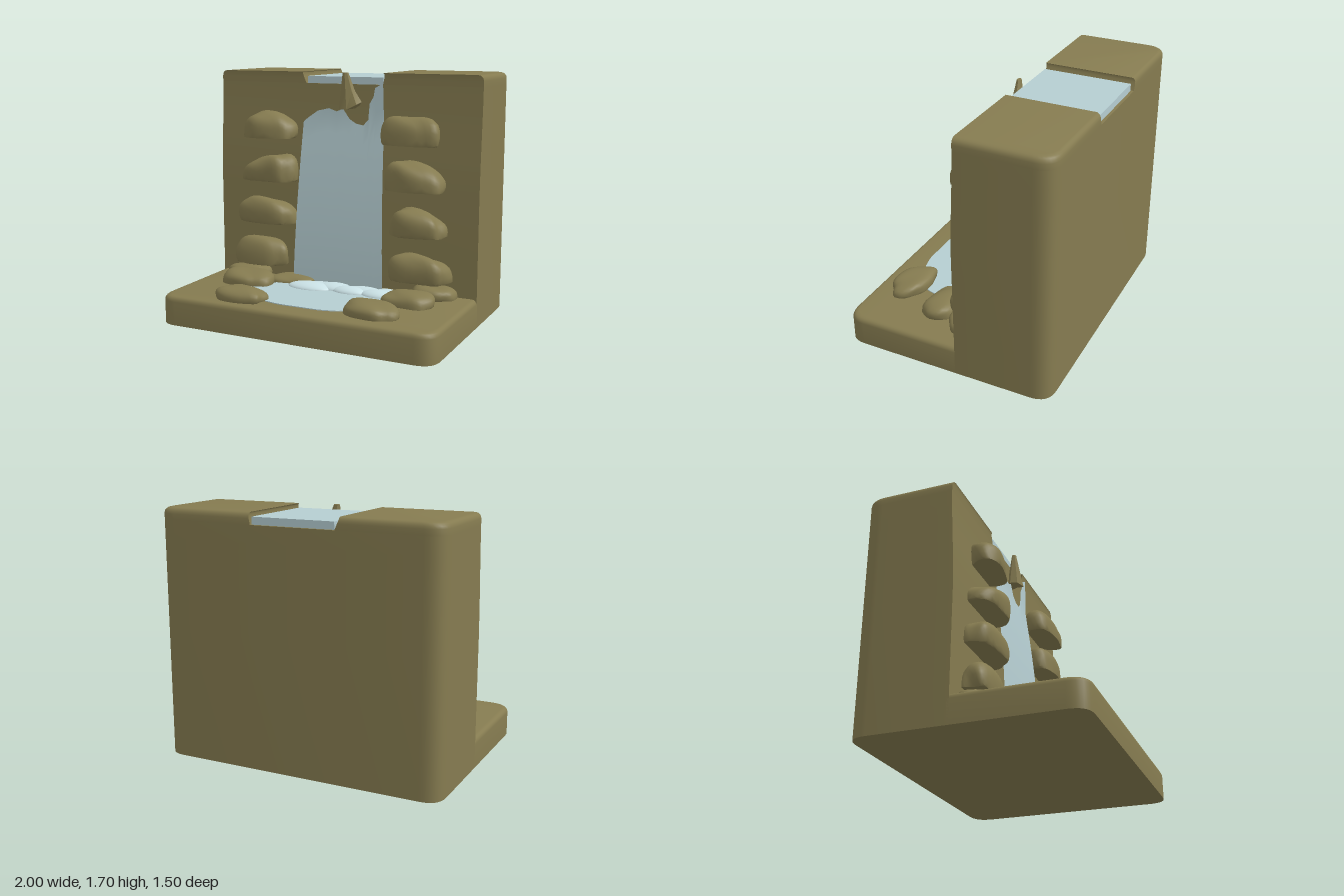
import * as THREE from 'three';
import { toCreasedNormals } from 'three/addons/utils/BufferGeometryUtils.js';

const mat = (name, color, side = THREE.FrontSide) => {
  const m = new THREE.MeshStandardMaterial({ color, side });
  m.name = name;
  return m;
};

// Applies rule(v) to every vertex of a geometry
function reshape(geo, rule) {
  const p = geo.attributes.position, v = new THREE.Vector3();
  for (let i = 0; i < p.count; i++) {
    v.fromBufferAttribute(p, i);
    rule(v);
    p.setXYZ(i, v.x, v.y, v.z);
  }
  return geo;
}

// Plan outline from corners [x, z, radius]
function planShape(corners) {
  const s = new THREE.Shape(), n = corners.length;
  corners.forEach(([x, z, r = 0], i) => {
    const c = new THREE.Vector2(x, -z);
    const toward = (k) => {
      const q = corners[(i + k + n) % n];
      return new THREE.Vector2(q[0], -q[1]).sub(c).normalize().multiplyScalar(r).add(c);
    };
    const a = toward(-1), b = toward(1);
    if (i === 0) s.moveTo(a.x, a.y); else s.lineTo(a.x, a.y);
    if (r) s.quadraticCurveTo(c.x, c.y, b.x, b.y);
  });
  s.closePath();
  return s;
}

// Extrudes a plan outline through the given heights; the last `round` units are rounded inward
function block(corners, heights, round, rule = () => {}) {
  const steps = heights.length - 1, top = heights[steps];
  const geo = new THREE.ExtrudeGeometry(planShape(corners), { depth: steps, steps, bevelEnabled: false, curveSegments: 8 });
  geo.rotateX(-Math.PI / 2);
  reshape(geo, (v) => {
    v.y = heights[Math.round(v.y)];
    const t = round ? Math.max(0, (v.y - top + round) / round) : 0;
    const s = 1 - round * (1 - Math.sqrt(Math.max(0, 1 - t * t)));
    rule(v);
    v.x *= s;
    v.z *= s;
  });
  return toCreasedNormals(geo, 0.7);
}

const roundedTop = (top, r) => [0, 0.4, 0.7, 0.9, 1].map((t) => top - r + r * t);

// Boulder with a flat underside, fitted to a box; skew raises its +x end
function boulder([x0, x1, y0, y1, z0, z1], skew, seed) {
  const geo = new THREE.IcosahedronGeometry(1, 5);
  const soft = (a) => Math.sign(a) * Math.pow(Math.abs(a), 0.78);
  reshape(geo, (v) => {
    const k = 1 + 0.07 * Math.sin(3 * v.x + seed * 2.1) + 0.07 * Math.sin(3.3 * v.z + 2 * v.y + seed * 1.3)
      + 0.04 * Math.sin(5 * v.x - 4 * v.z + seed);
    v.set(soft(v.x) * k, soft(v.y) * k, soft(v.z) * k);
    v.y = Math.max(v.y, -0.35) + 0.35;
    v.y *= 1 + skew * v.x;
    v.z += 0.12 * Math.sin(seed * 4) * v.x;
  });
  geo.computeBoundingBox();
  const { min, max } = geo.boundingBox;
  const fit = THREE.MathUtils.mapLinear;
  reshape(geo, (v) => v.set(fit(v.x, min.x, max.x, x0, x1), fit(v.y, min.y, max.y, y0, y1), fit(v.z, min.z, max.z, z0, z1)));
  return toCreasedNormals(geo, 0.75);
}

// Falling sheet: straight flaring sides, ragged top edge, curving out from the wall
function sheet() {
  const topEdge = [[0, 1.35], [0.06, 1.38], [0.18, 1.43], [0.32, 1.45], [0.42, 1.43], [0.5, 1.45], [0.58, 1.38],
    [0.66, 1.35], [0.75, 1.34], [0.81, 1.38], [0.83, 1.49], [0.88, 1.54], [0.9, 1.6], [1, 1.63]];
  const rows = 16, geo = new THREE.PlaneGeometry(1, 1, topEdge.length - 1, rows);
  const p = geo.attributes.position;
  for (let i = 0; i < p.count; i++) {
    const [u, top] = topEdge[i % topEdge.length];
    const y = 0.2 + (top - 0.2) * (1 - Math.floor(i / topEdge.length) / rows);
    const half = 0.35 - 0.04 * (y - 0.2) / 1.17;
    p.setXYZ(i, (2 * u - 1) * half, y, 0.01 - 0.1 * Math.min(1, Math.pow((y - 0.2) / 1.15, 1.7)));
  }
  geo.computeVertexNormals();
  return geo;
}

export function createModel() {
  const model = new THREE.Group();
  const rock = mat('olive rock', 0x857b50);
  const water = mat('pale water', 0xb5cdd1, THREE.DoubleSide);
  const foam = mat('light foam', 0xcae1e5);
  const add = (name, geo, material, parent = model) => {
    const mesh = new THREE.Mesh(geo, material);
    mesh.name = name;
    parent.add(mesh);
    return mesh;
  };
  const group = (name) => {
    const g = new THREE.Group();
    g.name = name;
    model.add(g);
    return g;
  };

  // Base slab and cliff
  add('base', block([[-1, -0.1], [-1, 0.75, 0.13], [1, 0.75, 0.13], [1, -0.1]], [0, ...roundedTop(0.2, 0.035)], 0.035), rock);
  const lean = (v) => {
    if (v.z > -0.3) v.z = -0.085 - 0.03 * THREE.MathUtils.smoothstep(v.y, 0.9, 1.65);
  };
  add('cliff', block([[-1, -0.75, 0.13], [-1, -0.09], [1, -0.09], [1, -0.75, 0.13]],
    [0, 0.9, 1.1, 1.3, 1.5, 1.62], 0, lean), rock);

  // Raised banks either side of the channel
  const banks = group('channelBanks');
  const bankHeights = [1.62, ...roundedTop(1.7, 0.04)];
  add('rightBank', block([[-1, -0.75, 0.13], [-1, -0.09], [-0.3, -0.09], [-0.3, -0.75]], bankHeights, 0.04, (v) => {
    lean(v);
    if (v.x > -0.4) v.x -= 0.45 * (v.y - 1.62);
  }), rock, banks);
  add('leftBank', block([[0.29, -0.75], [0.29, -0.09], [1, -0.09], [1, -0.75, 0.13]], bankHeights, 0.04, (v) => {
    lean(v);
    if (v.x < 0.4) v.x += 0.2 * (v.y - 1.62);
  }), rock, banks);

  // Water in the channel, the fall and the pool
  const stream = new THREE.BoxGeometry(0.58, 0.05, 0.61);
  stream.translate(0, 1.645, -0.425);
  add('stream', stream, water);
  add('waterfall', sheet(), water);
  const poolEdge = [[-0.2, 0], [-0.4, 0.1], [-0.54, 0.3], [-0.5, 0.4], [-0.37, 0.48], [-0.28, 0.56], [-0.15, 0.59],
    [0.15, 0.59], [0.28, 0.56], [0.38, 0.46], [0.51, 0.41], [0.54, 0.3], [0.5, 0.1], [0.45, 0]];
  add('pool', block(poolEdge.map(([x, z]) => [x, z, 0.03]), [0.198, 0.206], 0), water);

  // Foam where the fall meets the pool: [x, z, half width, half depth, height]
  const foamGroup = group('foam');
  [[-0.15, 0.13, 0.17, 0.09, 0.04], [0.02, 0.08, 0.14, 0.08, 0.04], [0.15, 0.12, 0.13, 0.07, 0.04],
    [0.24, 0.07, 0.15, 0.07, 0.035], [0.37, 0.12, 0.13, 0.075, 0.04], [-0.06, 0.06, 0.16, 0.06, 0.03],
    [0.4, 0.04, 0.09, 0.06, 0.03]].forEach(([x, z, w, d, h]) => {
    const puff = new THREE.SphereGeometry(1, 24, 14);
    puff.scale(w, h, d).translate(x, 0.202, z);
    add('foamPuff', puff, foam, foamGroup);
  });

  // Ledge stones up the cliff: [x0, x1, y0, y1, skew]
  const ledges = group('ledgeStones');
  [[-0.75, -0.35, 1.23, 1.42, -0.1], [-0.78, -0.34, 0.92, 1.11, 0.3], [-0.82, -0.35, 0.61, 0.8, -0.2],
    [-0.83, -0.41, 0.3, 0.5, 0.05], [0.32, 0.75, 1.23, 1.42, 0], [0.35, 0.77, 0.92, 1.12, -0.35],
    [0.38, 0.79, 0.61, 0.8, -0.2], [0.39, 0.83, 0.3, 0.49, -0.1]].forEach(([x0, x1, y0, y1, skew], i) =>
    add('ledgeStone', boulder([x0, x1, y0, y1, -0.15, 0.08], skew, i + 1), rock, ledges));

  // Stones around the pool: [x0, x1, z0, z1, height]
  const shore = group('poolStones');
  [[-0.82, -0.42, 0.06, 0.32, 0.09], [-0.92, -0.58, -0.13, 0.1, 0.08], [-0.63, -0.26, 0.44, 0.69, 0.085],
    [-0.5, -0.18, -0.1, 0.13, 0.05], [0.44, 0.8, 0.08, 0.32, 0.09], [0.3, 0.69, 0.4, 0.65, 0.085],
    [0.55, 0.87, -0.13, 0.09, 0.08]].forEach(([x0, x1, z0, z1, h], i) =>
    add('poolStone', boulder([x0, x1, 0.195, 0.2 + h, z0, z1], 0, i + 11), rock, shore));

  // Pointed stone splitting the stream at the lip
  const fang = new THREE.CylinderGeometry(0.022, 0.085, 0.25, 7, 2);
  reshape(fang, (v) => {
    v.z *= 0.7;
    v.x -= 0.14 * v.y;
    if (v.y < -0.1) v.y += 0.05 * Math.max(0, v.x - 0.05) / 0.05;
  });
  fang.translate(0.042, 1.575, -0.075);
  add('lipStone', toCreasedNormals(fang, 0.6), rock);

  return model;
}
